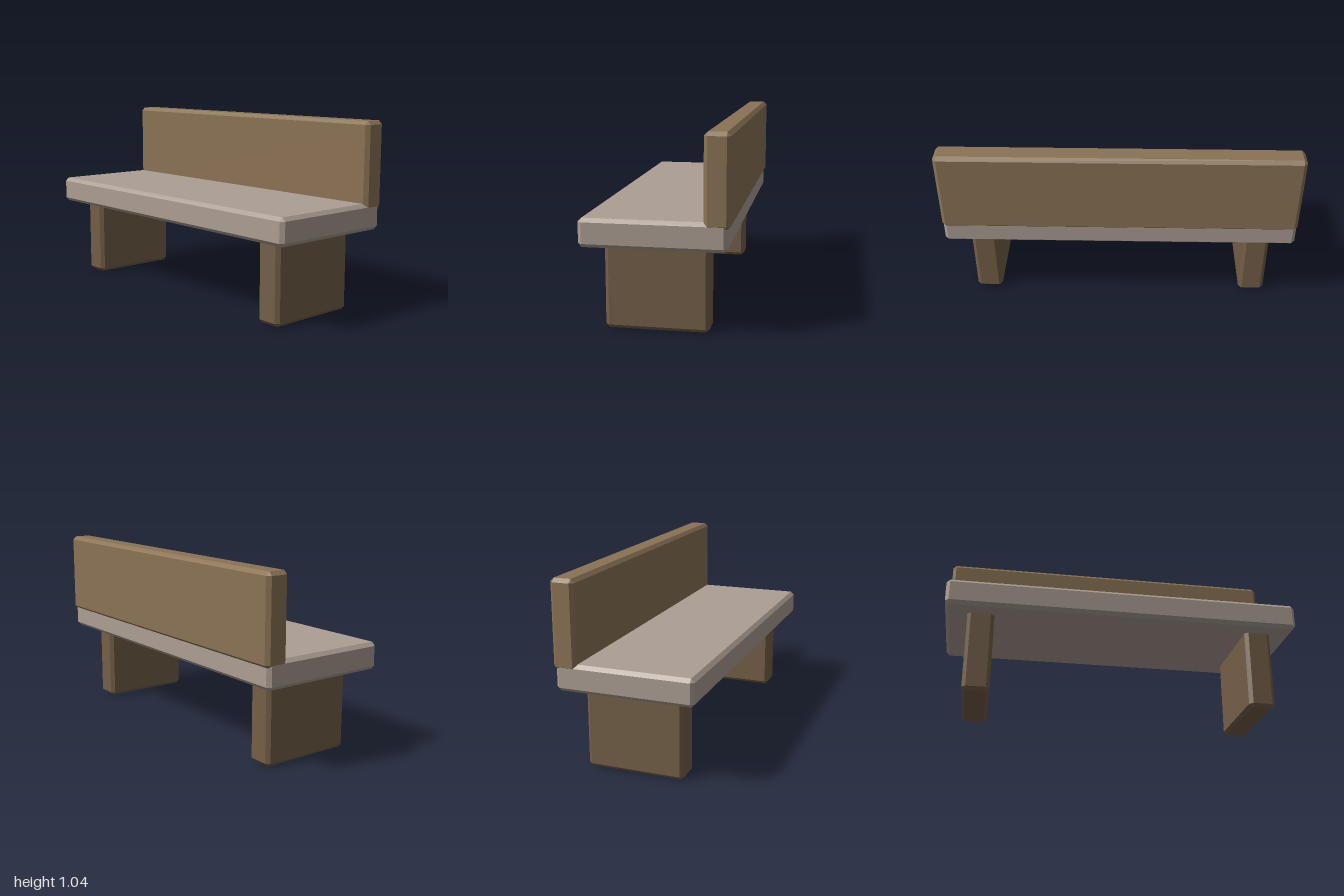
import * as THREE from 'three';
import { ConvexGeometry } from 'three/addons/geometries/ConvexGeometry.js';

// Box between two corners with every edge cut by a flat chamfer
function chamferedBox(name, color, min, max, c = 0.02) {
  const half = min.map((v, i) => (max[i] - v) / 2);
  const mid = min.map((v, i) => (max[i] + v) / 2);
  const points = [];
  for (const sx of [-1, 1]) for (const sy of [-1, 1]) for (const sz of [-1, 1]) {
    for (let axis = 0; axis < 3; axis++) {
      const p = half.map((h, i) => (i === axis ? h : h - c));
      points.push(new THREE.Vector3(sx * p[0], sy * p[1], sz * p[2]));
    }
  }
  const material = new THREE.MeshStandardMaterial({ color, flatShading: true });
  const mesh = new THREE.Mesh(new ConvexGeometry(points), material);
  mesh.name = name;
  mesh.position.set(...mid);
  return mesh;
}

export function createModel() {
  const bench = new THREE.Group();
  bench.name = 'bench';

  // Stone-coloured seat slab, a hair narrower than the backrest so their ends do not clash
  bench.add(chamferedBox('seat', 0xac9e93, [-0.998, 0.455, -0.37], [0.998, 0.605, 0.383]));

  // Backrest sunk slightly into the rear of the seat
  bench.add(chamferedBox('backrest', 0x8b7355, [-1, 0.567, -0.383], [1, 1.045, -0.25]));

  // Two slab legs, their tops hidden inside the seat
  for (const [name, x] of [['rightLeg', -0.8], ['leftLeg', 0.797]]) {
    bench.add(chamferedBox(name, 0x745f48, [x - 0.075, 0, -0.265], [x + 0.075, 0.5, 0.28]));
  }
  return bench;
}
